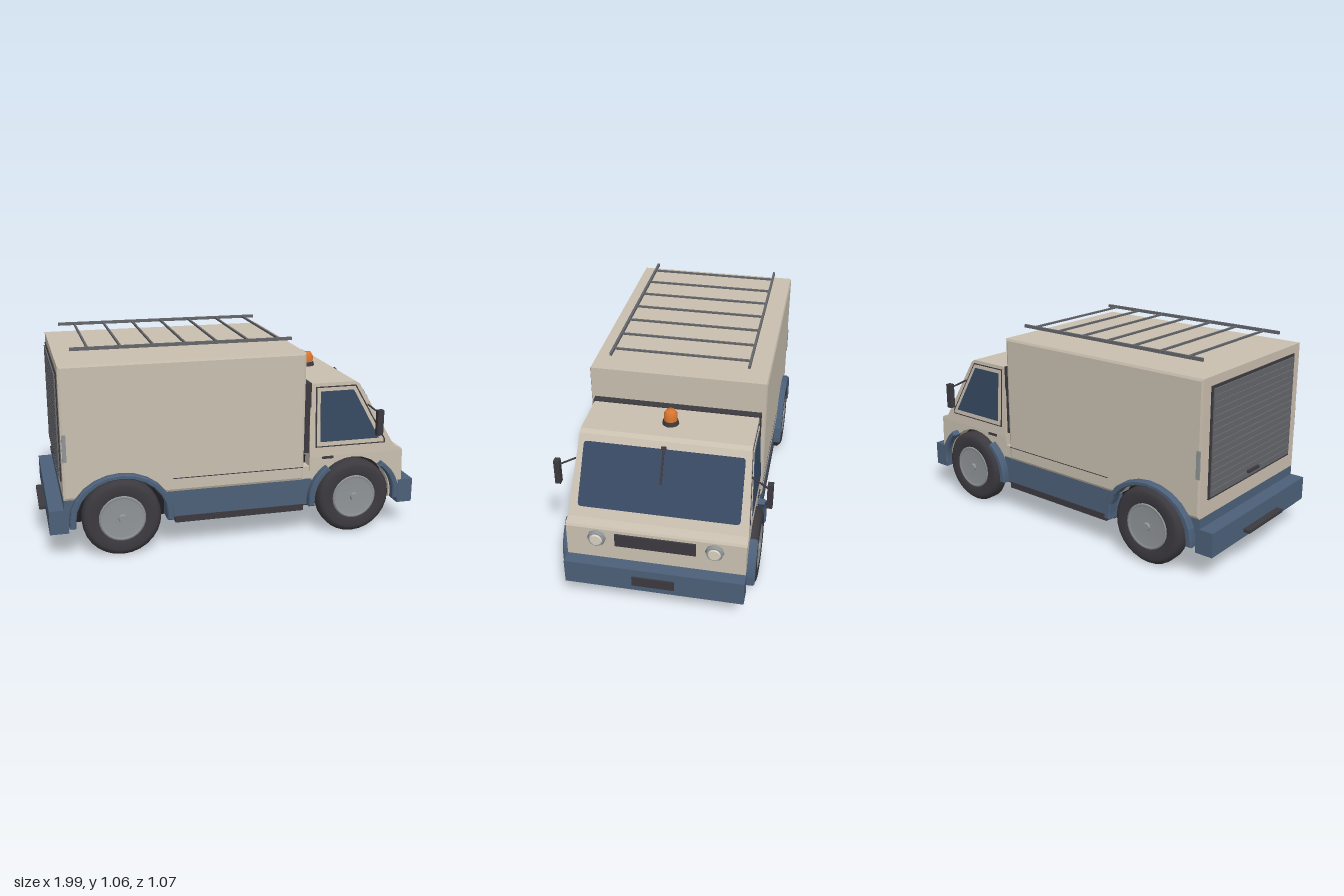
import * as THREE from 'three';

const paint = (name, color) => {
  const m = new THREE.MeshStandardMaterial({ color });
  m.name = name;
  return m;
};

export function createModel() {
  const beige = paint('beige paint', 0xc9bfaf);
  const blue = paint('blue trim', 0x4c6079);
  const glass = paint('dark blue glass', 0x364962);
  const rubber = paint('dark rubber', 0x3c3a3f);
  const steel = paint('grey steel', 0x8f9496);
  const rackGrey = paint('rack grey', 0x65666b);
  const black = paint('black underside', 0x1d1d20);
  const orange = paint('orange lamp', 0xd8772f);
  const lens = paint('headlight lens', 0xd8d1c2);

  const truck = new THREE.Group();
  truck.name = 'serviceTruck';
  const add = (name, geo, mat, parent = truck) => {
    const m = new THREE.Mesh(geo, mat);
    m.name = name;
    parent.add(m);
    return m;
  };
  // Box given by its lower and upper limits on each axis
  const box = (name, mat, x0, x1, y0, y1, z0, z1, parent) => {
    const g = new THREE.BoxGeometry(x1 - x0, y1 - y0, z1 - z0);
    g.translate((x0 + x1) / 2, (y0 + y1) / 2, (z0 + z1) / 2);
    return add(name, g, mat, parent);
  };
  const toShape = (pts) => new THREE.Shape(pts.map(([x, y]) => new THREE.Vector2(x, y)));
  // Side profile extruded across the width; the half width may depend on height
  const across = (pts, half, bevel = 0) => {
    const g = new THREE.ExtrudeGeometry(toShape(pts), {
      depth: 2 - 2 * bevel, bevelEnabled: bevel > 0, bevelSegments: 1,
      bevelSize: bevel, bevelThickness: bevel, bevelOffset: -bevel,
    });
    g.translate(0, 0, bevel - 1);
    const p = g.attributes.position;
    for (let i = 0; i < p.count; i++) {
      const w = typeof half === 'function' ? half(p.getY(i)) : half;
      p.setZ(i, p.getZ(i) * w);
    }
    g.computeVertexNormals();
    return g;
  };
  // Wheel arch points from left to right, starting and ending at yBase
  const wheelY = 0.2, rearX = -0.605, frontX = 0.635;
  const arch = (cx, r, yBase) => {
    const a = Math.asin((yBase - wheelY) / r);
    return Array.from({ length: 15 }, (_, i) => {
      const t = Math.PI - a - (Math.PI - 2 * a) * i / 14;
      return [cx + r * Math.cos(t), wheelY + r * Math.sin(t)];
    });
  };

  // Cargo box, lower skirts and underside
  add('cargoBox', across([[-0.89, 0.31], ...arch(rearX, 0.222, 0.31), [0.355, 0.31],
    [0.355, 0.99], [-0.89, 0.99]], 0.45, 0.012), beige);
  box('cabStep', beige, 0.35, 0.39, 0.3, 0.38, -0.44, 0.44);
  box('rearSkirt', blue, -0.89, -0.835, 0.168, 0.312, -0.443, 0.443);
  box('sideSkirt', blue, -0.375, 0.405, 0.168, 0.312, -0.443, 0.443);
  box('chassis', black, -0.88, 0.9, 0.163, 0.42, -0.375, 0.375);
  box('floor', black, -0.37, 0.4, 0.16, 0.169, -0.435, 0.435);
  for (const s of [-1, 1]) {
    box('sill', rubber, -0.33, 0.36, 0.138, 0.172, s * 0.425 - 0.022, s * 0.425 + 0.022);
    box('boxSeam', rubber, -0.34, 0.352, 0.378, 0.382, s * 0.45 - 0.001, s * 0.45 + 0.001);
    box('rearMarker', steel, -0.886, -0.866, 0.51, 0.65, s * 0.45 - 0.004, s * 0.45 + 0.004);
  }

  // Roller shutter
  box('shutterFrame', rubber, -0.896, -0.885, 0.39, 0.945, -0.385, 0.385);
  for (let i = 0; i < 16; i++) {
    const y = 0.403 + i * 0.0333;
    box('shutterSlat', rackGrey, -0.903, -0.89, y, y + 0.029, -0.372, 0.372);
  }
  box('shutterHandle', rubber, -0.915, -0.9, 0.425, 0.44, -0.05, 0.05);

  // Cab: straight lower half, upper half leaning inwards
  const cabHalf = (y) => 0.445 - 0.025 * (y - 0.43) / 0.39;
  add('cabLower', across([[0.39, 0.17], ...arch(frontX, 0.215, 0.17), [0.92, 0.17],
    [0.92, 0.26], [0.915, 0.43], [0.39, 0.43]], 0.442), beige);
  add('cabUpper', across([[0.39, 0.43], [0.915, 0.43], [0.908, 0.442], [0.868, 0.455],
    [0.662, 0.806], [0.64, 0.82], [0.39, 0.82]], cabHalf), beige);
  box('cabGap', rubber, 0.35, 0.395, 0.45, 0.825, -0.428, 0.428);

  // Side windows: dark seam, raised frame, glass
  const layer = (name, pts, t, mat) => add(name, across(pts, (y) => cabHalf(y) + t), mat);
  layer('doorSeam', [[0.42, 0.48], [0.812, 0.48], [0.812, 0.5], [0.642, 0.802], [0.42, 0.802]], 0.002, rubber);
  layer('doorFrame', [[0.427, 0.487], [0.803, 0.487], [0.803, 0.5], [0.637, 0.796], [0.427, 0.796]], 0.005, beige);
  layer('sideWindow', [[0.445, 0.51], [0.775, 0.51], [0.755, 0.545], [0.627, 0.778], [0.445, 0.778]], 0.008, glass);
  box('doorHandle', rubber, 0.46, 0.52, 0.417, 0.429, -0.45, 0.45);

  // Windscreen with rounded corners, and its wiper
  const screen = new THREE.Group();
  screen.name = 'windscreen';
  const w = 0.398, h = 0.159, r = 0.02, s = new THREE.Shape();
  s.moveTo(-w + r, -h).lineTo(w - r, -h).quadraticCurveTo(w, -h, w, -h + r);
  s.lineTo(w - 0.004, h - r).quadraticCurveTo(w - 0.004, h, w - r, h);
  s.lineTo(-w + r, h).quadraticCurveTo(-w + 0.004, h, -w + 0.004, h - r);
  s.lineTo(-w, -h + r).quadraticCurveTo(-w, -h, -w + r, -h);
  add('windscreenGlass', new THREE.ExtrudeGeometry(s, { depth: 0.008, bevelEnabled: false }), glass, screen);
  box('wiper', rubber, -0.005, 0.005, -0.01, 0.17, 0.008, 0.016, screen);
  box('wiperPivot', rubber, -0.011, 0.011, 0.155, 0.172, 0, 0.02, screen);
  screen.matrix.makeBasis(new THREE.Vector3(0, 0, -1),
    new THREE.Vector3(-0.506, 0.8625, 0), new THREE.Vector3(0.8625, 0.506, 0));
  screen.quaternion.setFromRotationMatrix(screen.matrix);
  screen.position.set(0.761, 0.6375, 0);
  truck.add(screen);

  // Bumpers, grille and front plate
  box('frontBumper', blue, 0.9, 0.985, 0.13, 0.26, -0.445, 0.445);
  box('rearBumper', blue, -0.965, -0.87, 0.135, 0.26, -0.445, 0.445);
  box('rearStep', rubber, -1, -0.96, 0.165, 0.182, -0.165, 0.165);
  box('frontPlate', rubber, 0.98, 0.993, 0.165, 0.218, -0.105, 0.105);
  box('grille', rubber, 0.9, 0.924, 0.343, 0.414, -0.2, 0.2);

  // Headlights
  for (const side of [-1, 1]) {
    const ring = new THREE.CylinderGeometry(0.04, 0.05, 0.025, 8).rotateZ(-Math.PI / 2);
    add('headlightRing', ring, steel).position.set(0.922, 0.378, side * 0.29);
    const lamp = new THREE.CylinderGeometry(0.028, 0.036, 0.012, 16).rotateZ(-Math.PI / 2);
    add('headlightLens', lamp, lens).position.set(0.935, 0.378, side * 0.29);
  }

  // Wheels: tyre, stepped rim and hub cap, turned about the axle
  const turned = (pts, n) => new THREE.LatheGeometry(
    pts.map(([x, y]) => new THREE.Vector2(x, y)), n).rotateX(Math.PI / 2);
  const tyreProfile = [[0.001, -0.047], [0.17, -0.047], [0.186, -0.04], [0.2, -0.024], [0.2, 0.024],
    [0.186, 0.04], [0.17, 0.047], [0.125, 0.047], [0.117, 0.036], [0.001, 0.036]];
  const rimProfile = [[0.119, 0.03], [0.119, 0.044], [0.108, 0.046], [0.102, 0.038], [0.001, 0.04]];
  for (const [x, place] of [[rearX, 'rear'], [frontX, 'front']]) {
    for (const side of [-1, 1]) {
      const wheel = new THREE.Group();
      wheel.name = place + 'Wheel';
      add('tyre', turned(tyreProfile, 28), rubber, wheel);
      add('rim', turned(rimProfile, 28), steel, wheel);
      add('hubCap', new THREE.CylinderGeometry(0.018, 0.022, 0.012, 12).rotateX(Math.PI / 2), steel, wheel)
        .position.z = 0.044;
      wheel.position.set(x, wheelY, side * 0.432);
      if (side < 0) wheel.rotation.y = Math.PI;
      truck.add(wheel);
    }
  }

  // Fenders: bands along an elliptical arc, with straight legs at the ends
  const fender = (name, cx, a, b, from, to) => {
    const n = 12, outer = [], inner = [];
    for (let i = 0; i <= n; i++) {
      const t = (from + (to - from) * i / n) * Math.PI / 180;
      outer.push([cx + a * Math.cos(t), wheelY + b * Math.sin(t)]);
      inner.unshift([cx + (a - 0.034) * Math.cos(t), wheelY + (b - 0.026) * Math.sin(t)]);
    }
    if (from === 0) { outer.unshift([cx + a, 0.168]); inner.push([cx + a - 0.034, 0.168]); }
    if (to === 180) { outer.push([cx - a, 0.168]); inner.unshift([cx - a + 0.034, 0.168]); }
    for (const side of [-1, 1]) {
      const g = new THREE.ExtrudeGeometry(toShape([...outer, ...inner]), {
        depth: 0.045, bevelEnabled: true, bevelSegments: 1, bevelSize: 0.006, bevelThickness: 0.008, bevelOffset: -0.006,
      });
      g.translate(0, 0, side > 0 ? 0.43 : -0.475);
      add(name, g, blue);
    }
  };
  fender('rearFender', rearX, 0.264, 0.235, 0, 180);
  fender('frontFenderFore', frontX, 0.255, 0.23, 0, 52);
  fender('frontFenderAft', frontX, 0.255, 0.23, 128, 180);

  // Mirrors on thin arms
  for (const side of [-1, 1]) {
    box('mirror', rubber, 0.722, 0.755, 0.55, 0.685, side * 0.522 - 0.014, side * 0.522 + 0.014);
    for (const [y0, y1] of [[0.692, 0.66], [0.58, 0.56]]) {
      const arm = new THREE.LineCurve3(new THREE.Vector3(y0 > 0.6 ? 0.71 : 0.745, y0, side * (y0 > 0.6 ? 0.425 : 0.5)),
        new THREE.Vector3(0.745, y1, side * 0.515));
      add('mirrorArm', new THREE.TubeGeometry(arm, 1, 0.005, 6), rubber);
    }
  }

  // Roof rack
  for (const z of [-0.35, 0.35]) box('rackRail', rackGrey, -0.82, 0.305, 1.04, 1.056, z - 0.006, z + 0.006);
  for (let i = 0; i < 7; i++) {
    const x = -0.732 + i * 0.162;
    box('rackBar', rackGrey, x - 0.005, x + 0.005, 1.043, 1.053, -0.35, 0.35);
  }

  // Beacon
  add('beaconBase', new THREE.CylinderGeometry(0.036, 0.043, 0.024, 10), rubber).position.set(0.52, 0.83, 0);
  add('beaconLamp', new THREE.LatheGeometry([[0.034, 0.84], [0.034, 0.875], [0.022, 0.895], [0.001, 0.896]]
    .map(([x, y]) => new THREE.Vector2(x, y)), 12), orange).position.x = 0.52;

  return truck;
}
